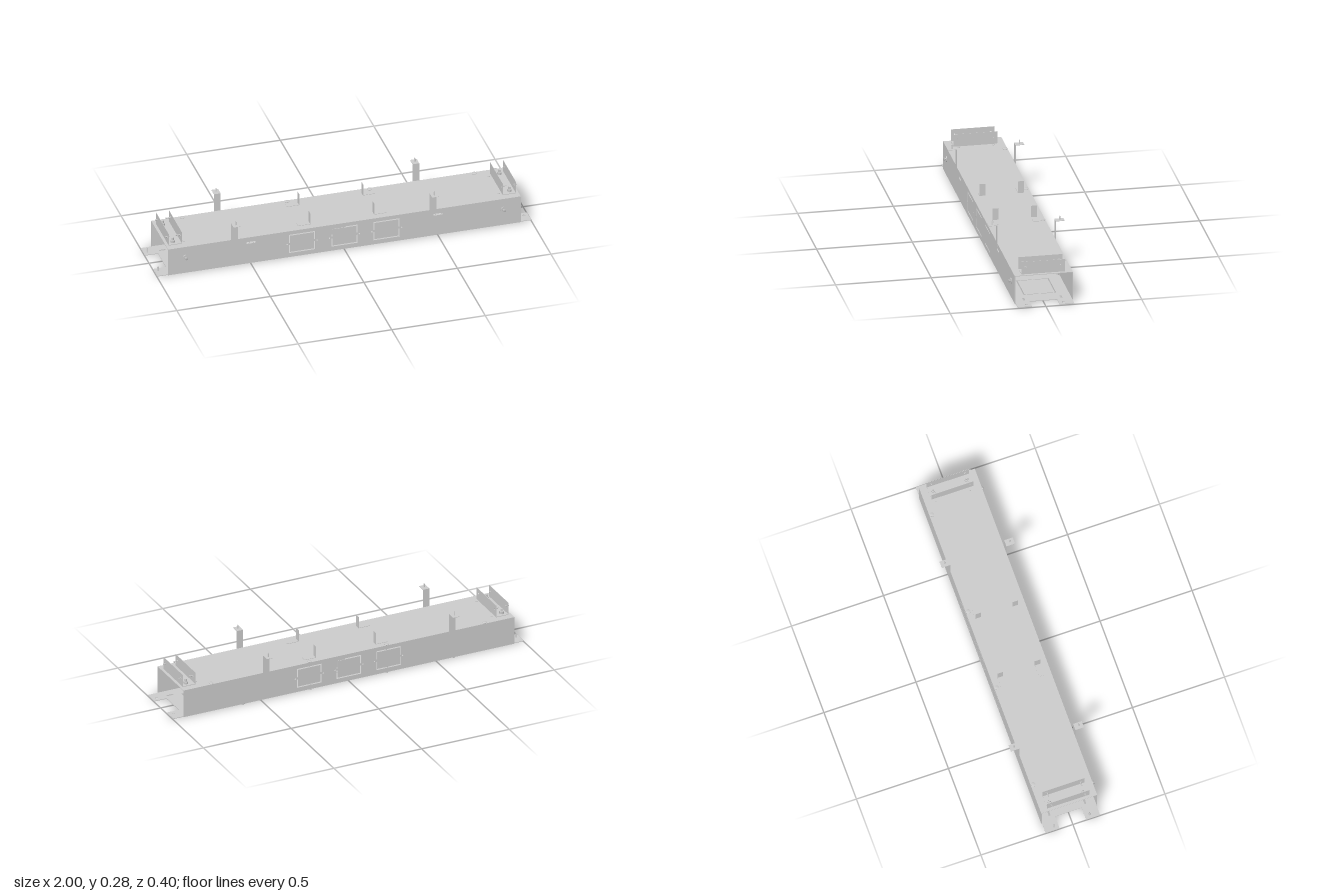
import * as THREE from 'three';

const metal = new THREE.MeshStandardMaterial({ color: 0xcccccc, side: THREE.DoubleSide });
const T = 0.003; // sheet thickness
const END = 0.943, WALL = 0.152, FLOOR = 0.004, TOP = 0.157;

function mesh(name, geometry, parent, x = 0, y = 0, z = 0) {
  const m = new THREE.Mesh(geometry, metal);
  m.name = name;
  m.position.set(x, y, z);
  parent.add(m);
  return m;
}

// box given by its minimum and maximum corners
function block(name, parent, [x0, y0, z0], [x1, y1, z1]) {
  return mesh(name, new THREE.BoxGeometry(x1 - x0, y1 - y0, z1 - z0), parent,
    (x0 + x1) / 2, (y0 + y1) / 2, (z0 + z1) / 2);
}

function rect(x, y, w, h, Type = THREE.Path) {
  const p = new Type();
  p.moveTo(x - w / 2, y - h / 2);
  p.lineTo(x + w / 2, y - h / 2);
  p.lineTo(x + w / 2, y + h / 2);
  p.lineTo(x - w / 2, y + h / 2);
  p.closePath();
  return p;
}

function round(x, y, r) {
  return new THREE.Path().absarc(x, y, r, 0, Math.PI * 2, true);
}

const sheet = (shapes) => new THREE.ExtrudeGeometry(shapes, { depth: T, bevelEnabled: false, curveSegments: 8 });

// pre-cut panel: a thin slit around an inner sheet held by two bridges
function knockout(shape, x, y, w, h) {
  const s = 0.006;
  shape.holes.push(rect(x, y, w, h));
  return [rect(x, y, w - 2 * s, h - 2 * s, THREE.Shape),
    ...[-1, 1].map((k) => rect(x + k * (w / 2 - s / 2), y, s, 0.012, THREE.Shape))];
}

// screw pointing up from y = 0, with a flat head and a tapered tip
function screw(name, parent, x, y, z, length, headR = 0.011, shankR = 0.005) {
  const h = 0.004;
  const profile = [[0, 0], [headR, 0], [headR, h], [shankR, h], [shankR, length * 0.75], [0, length]];
  const g = new THREE.LatheGeometry(profile.map((p) => new THREE.Vector2(...p)), 12);
  return mesh(name, g, parent, x, y, z);
}

// long front and back walls
function wall(name, parent, z, slots) {
  const s = rect(0, (FLOOR + TOP) / 2, END * 2, TOP - FLOOR, THREE.Shape);
  const panels = [-0.226, 0, 0.226].flatMap((x) => {
    for (const k of [-1, 1]) s.holes.push(round(x + k * 0.08, 0.08, 0.004));
    return knockout(s, x, 0.082, 0.14, 0.108);
  });
  if (slots) for (const x of [-0.5, 0.5]) s.holes.push(rect(x, 0.125, 0.05, 0.01));
  mesh(name, sheet([s, ...panels]), parent, 0, 0, z);
}

// floor outline with a pair of mounting tabs at each end
function floor(parent) {
  const half = [[0.93, 0.072], [1, 0.072], [1, 0.148], [END, 0.148], [END, WALL]];
  const right = [...half.map(([x, y]) => [x, -y]).reverse(), ...half];
  const outline = [...right, ...right.map(([x, y]) => [-x, -y])];
  const s = new THREE.Shape(outline.map((p) => new THREE.Vector2(...p)));
  for (const z of [-0.097, 0.097]) {
    s.holes.push(round(0.975, z, 0.008));
    for (const x of [-0.9, 0.9]) s.holes.push(rect(x, z, 0.035, 0.01));
    for (const x of [-0.4, 0.4]) s.holes.push(rect(x, z, 0.03, 0.006));
  }
  const panels = [-0.74, 0.74].flatMap((x) => knockout(s, x, 0, 0.2, 0.17));
  const m = mesh('floor', sheet([s, ...panels]), parent, 0, FLOOR + T, 0);
  m.rotation.x = Math.PI / 2;
}

// strip rising from the wall with an outward flange and a screw
function hanger(parent, x, side) {
  const g = new THREE.Group();
  g.name = 'hanger';
  const w = 0.018, t = 0.002;
  block('hangerStrip', g, [-w, 0.14, WALL], [w, 0.258, WALL + t]);
  block('hangerFlange', g, [-w, 0.256, WALL], [w, 0.258, 0.199]);
  screw('hangerScrew', g, 0, 0.253, 0.177, 0.029, 0.006, 0.0035);
  g.position.x = x;
  g.rotation.y = side > 0 ? 0 : Math.PI;
  parent.add(g);
}

// upright channel across one end of the lid, with bolts and nuts
function endChannel(parent, side) {
  const g = new THREE.Group();
  g.name = 'endChannel';
  const d = 0.114, t = 0.0015;
  for (const x of [0.857, 0.927]) {
    const s = rect(0, 0.192, d * 2, 0.066, THREE.Shape);
    for (const z of [-0.095, 0.095]) s.holes.push(round(z, 0.197, 0.004));
    const m = mesh('channelPlate', new THREE.ExtrudeGeometry(s, { depth: t, bevelEnabled: false, curveSegments: 6 }), g, x, 0, 0);
    m.rotation.y = Math.PI / 2;
  }
  block('channelBase', g, [0.858, TOP, -d], [0.928, TOP + 0.003, d]);
  for (const z of [-0.09, 0.09]) {
    mesh('channelNut', new THREE.CylinderGeometry(0.013, 0.013, 0.012, 6), g, 0.9, 0.148, z);
    mesh('channelBoltHead', new THREE.CylinderGeometry(0.012, 0.012, 0.012, 6), g, 0.9, 0.166, z);
    mesh('channelBolt', new THREE.CylinderGeometry(0.006, 0.006, 0.03, 10), g, 0.9, 0.172, z);
    for (const x of [0.872, 0.93]) {
      const pin = mesh('channelPin', new THREE.CylinderGeometry(0.003, 0.003, 0.022, 8), g, x, 0.197, z);
      pin.rotation.z = Math.PI / 2;
    }
    mesh('lidRivet', new THREE.CylinderGeometry(0.006, 0.006, 0.004, 10), g, 0.843, TOP + 0.001, z);
  }
  g.rotation.y = side > 0 ? 0 : Math.PI;
  parent.add(g);
}

export function createModel() {
  const model = new THREE.Group();
  model.name = 'sheetMetalHousing';

  // shell
  wall('frontWall', model, WALL - T, true);
  wall('backWall', model, -WALL, false);
  floor(model);
  block('lid', model, [-END, TOP - T, -WALL], [END, TOP, WALL]);

  // tabs bent inward behind the front slots
  for (const x of [-0.5, 0.5]) {
    const tab = mesh('slotTab', new THREE.BoxGeometry(0.05, 0.0015, 0.02), model, x, 0.131, 0.144);
    tab.rotation.x = Math.PI / 4;
  }

  for (const side of [-1, 1]) {
    endChannel(model, side);
    for (const x of [-0.589, 0.473]) hanger(model, x, side);

    // small angle brackets on the lid
    for (const z of [-0.102, 0.1]) {
      const foot = block('angleBracketFoot', model, [0.17, TOP, z - 0.015], [0.236, TOP + 0.002, z + 0.015]);
      const upright = block('angleBracketUpright', model, [0.17, TOP, z - 0.015], [0.172, 0.222, z + 0.015]);
      foot.position.x *= side;
      upright.position.x *= side;
    }

    // front screws with their washers
    const bolt = screw('frontScrew', model, side * 0.85, 0.096, 0.166, 0.041, 0.01, 0.005);
    bolt.rotation.x = -Math.PI / 2;
    const washer = mesh('frontWasher', new THREE.CylinderGeometry(0.015, 0.015, 0.004, 14), model, side * 0.85, 0.096, 0.154);
    washer.rotation.x = Math.PI / 2;

    // screws through the right-hand mounting tabs
    screw('tabScrew', model, -0.98, 0, side * 0.097, 0.035);
  }

  // screws along the rear edges, upward in the floor and downward in the lid
  for (const x of [-0.6, -0.22, 0.22, 0.6]) screw('floorScrew', model, x, 0, -0.139, 0.034, 0.012, 0.008);
  for (const x of [-0.78, -0.22, 0.22, 0.78]) {
    screw('lidScrew', model, x, 0.16, -0.139, 0.034, 0.012, 0.008).rotation.x = Math.PI;
  }

  // inner divider bracket
  block('dividerUpright', model, [-0.05, FLOOR, -0.001], [0.05, 0.092, 0.001]);
  block('dividerFoot', model, [-0.05, FLOOR + T, -0.055], [0.05, FLOOR + T + 0.002, 0]);
  mesh('dividerRivet', new THREE.CylinderGeometry(0.009, 0.009, 0.006, 12), model, 0, 0.011, -0.029);
  return model;
}
